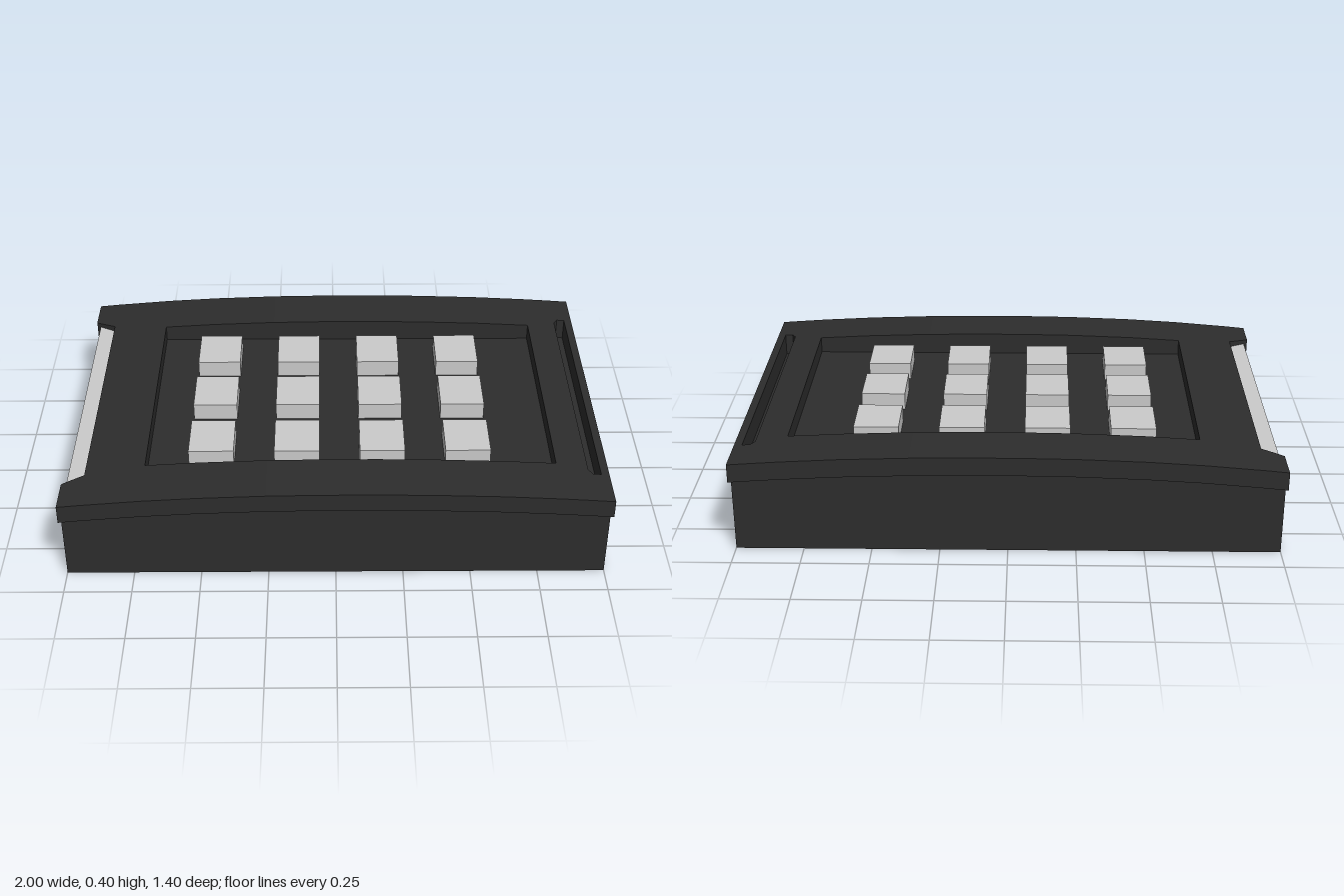
import * as THREE from 'three';

const dark = new THREE.MeshStandardMaterial({ color: 0x2d2d2d });
dark.name = 'charcoal';
const light = new THREE.MeshStandardMaterial({ color: 0xcccccc });
light.name = 'light grey';

// Arched lid: height of the top, the outer lower edge and the chamfer's inner edge
const topY = (x) => 0.405 - (x < 0.05
  ? 0.05 * Math.pow((0.05 - x) / 1.05, 2.2)
  : 0.035 * Math.pow((x - 0.05) / 0.95, 2.2));
const rimY = (x) => topY(x) - 0.07;
const chamferY = (x) => Math.min(rimY(x), 0.262 + (x + 1) * 0.14, 0.28 + (1 - x) * 0.11);

function mesh(name, geometry, material) {
  const m = new THREE.Mesh(geometry, material);
  m.name = name;
  return m;
}

// Outline of half a lid slice, from its inner z to the overhanging rim
function section(x, zi) {
  const t = topY(x);
  return [[zi, t], [0.7, t], [0.7, rimY(x)], [0.64, chamferY(x)], [0.64, 0.2], [zi, 0.2]]
    .map(([z, y]) => [x, y, z]);
}

// Lid made of slices: [x start, x end, inner z at start, inner z at end]
function lidGeometry() {
  const slices = [
    [-1, -0.985, 0.565, 0.555], [-0.985, -0.92, 0.555, 0.52], // open notch
    [-0.92, -0.7, 0, 0],                                      // left panel
    [0.81, 0.925, 0, 0],                                      // right panel
    [0.925, 0.94, 0.515, 0.54], [0.94, 0.97, 0.54, 0.54],     // narrow slot
    [0.97, 1, 0, 0],
  ];
  const xs = [-0.7, -0.5, -0.25, -0.05, 0.15, 0.35, 0.6, 0.81]; // rails beside recess
  for (let i = 0; i < xs.length - 1; i++) slices.push([xs[i], xs[i + 1], 0.485, 0.485]);

  const pos = [];
  for (const [xa, xb, za, zb] of slices) {
    const A = section(xa, za), B = section(xb, zb);
    for (const side of [1, -1]) {
      const tri = (a, b, c) => {
        for (const p of side > 0 ? [a, b, c] : [a, c, b]) pos.push(p[0], p[1], p[2] * side);
      };
      for (let i = 0; i < 6; i++) {
        const j = (i + 1) % 6;
        if (za === 0 && i === 5) continue;
        tri(A[i], A[j], B[j]);
        tri(A[i], B[j], B[i]);
      }
      for (let i = 1; i < 5; i++) {
        tri(A[0], A[i + 1], A[i]);
        tri(B[0], B[i], B[i + 1]);
      }
    }
  }
  const g = new THREE.BufferGeometry();
  g.setAttribute('position', new THREE.Float32BufferAttribute(pos, 3));
  g.computeVertexNormals();
  return g;
}

const polygon = (pts) => new THREE.Shape(pts.map(([x, y]) => new THREE.Vector2(x, y)));

export function createModel() {
  const group = new THREE.Group();
  group.name = 'keypadUnit';

  // Lower housing, its top forming the recess floor
  const body = new THREE.ExtrudeGeometry(
    polygon([[-1, 0], [1, 0], [1, 0.28], [0.81, 0.32], [-0.7, 0.32], [-0.92, 0.285], [-1, 0.262]]),
    { depth: 1.28, bevelEnabled: false });
  body.translate(0, 0, -0.64);
  group.add(mesh('housing', body, dark));

  group.add(mesh('archedLid', lidGeometry(), dark));

  // Light bar set in the notch at the left edge
  const bar = new THREE.ExtrudeGeometry(
    polygon([[-0.985, -0.555], [-0.92, -0.52], [-0.92, 0.52], [-0.985, 0.555]]),
    { depth: 0.09, bevelEnabled: false });
  bar.rotateX(-Math.PI / 2);
  bar.translate(0, 0.25, 0);
  group.add(mesh('lightBar', bar, light));

  // Keys in three rows of four
  const keys = new THREE.Group();
  keys.name = 'keys';
  const keyGeometry = new THREE.BoxGeometry(0.168, 0.075, 0.2);
  for (let row = 0; row < 3; row++) {
    for (let col = 0; col < 4; col++) {
      const key = mesh('key', keyGeometry, light);
      key.position.set(-0.463 + col * 0.319, 0.348, -0.305 + row * 0.305);
      keys.add(key);
    }
  }
  group.add(keys);
  return group;
}
